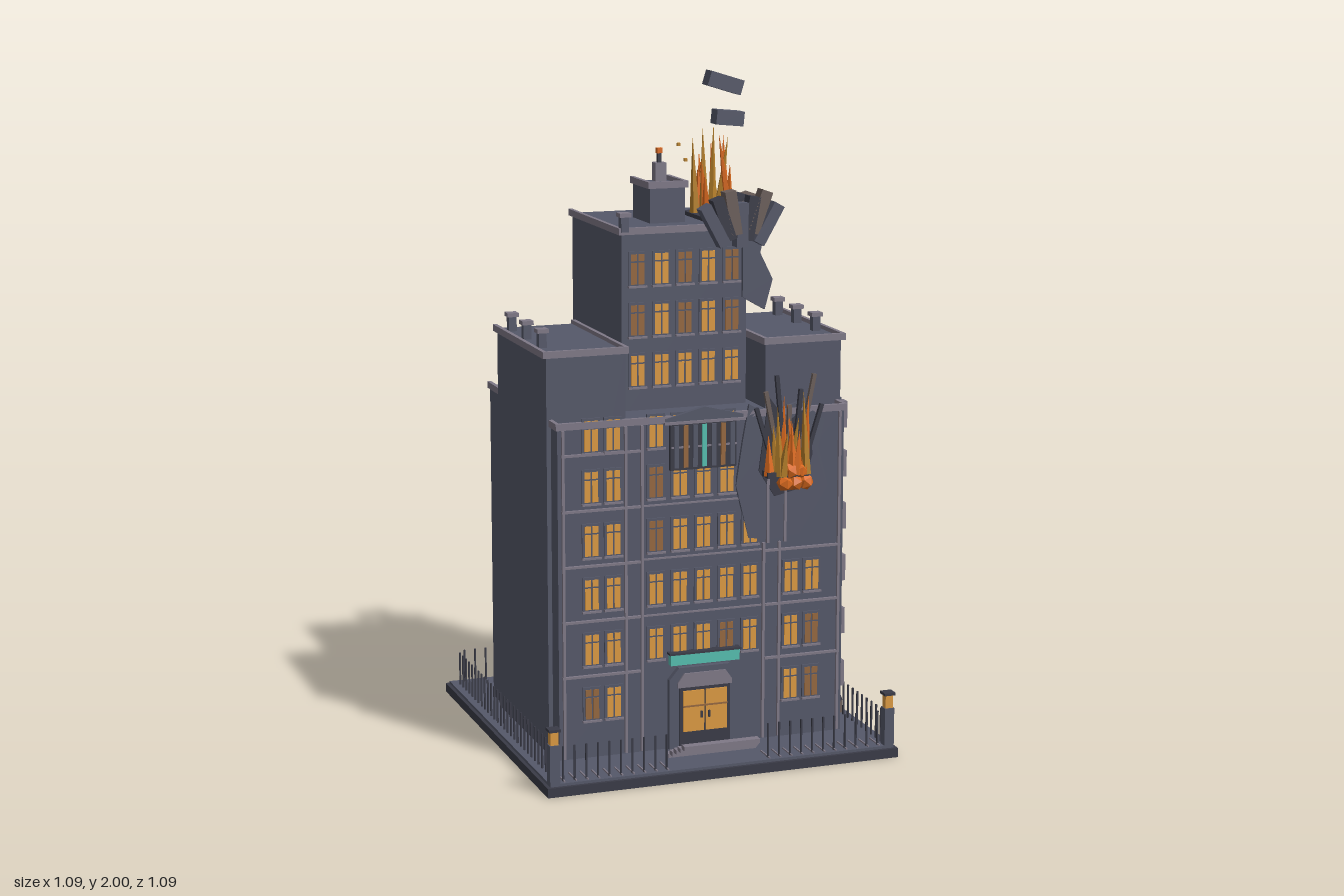
import * as THREE from 'three';

const mat = (name, hex, extra = {}) => {
  const m = new THREE.MeshStandardMaterial({ color: hex, flatShading: true, ...extra });
  m.name = name;
  return m;
};

export function createModel() {
  const root = new THREE.Group();
  root.name = 'tower';
  const M = {
    wall: mat('slate wall', 0x555869),
    dark: mat('dark iron', 0x3a3b47),
    trim: mat('pale stone trim', 0x7f7987),
    lit: mat('lit window', 0xdc9a42),
    dim: mat('dim window', 0x96683f),
    fire: mat('orange flame', 0xdb6a1e),
    gold: mat('golden flame', 0xb9822c),
    teal: mat('teal cloth', 0x56bfb0),
    rubble: mat('brown rubble', 0x6b5e5a),
  };
  let seed = 7;
  const rnd = () => (seed = (seed * 16807) % 2147483647) / 2147483647;

  const add = (name, geo, m, x, y, z, parent = root) => {
    const mesh = new THREE.Mesh(geo, m);
    mesh.name = name;
    mesh.position.set(x, y, z);
    parent.add(mesh);
    return mesh;
  };
  const box = (name, m, w, h, d, x, y, z, parent) => add(name, new THREE.BoxGeometry(w, h, d), m, x, y, z, parent);
  // box given by its extents
  const span = (name, m, x0, x1, y0, y1, z0, z1) =>
    box(name, m, x1 - x0, y1 - y0, z1 - z0, (x0 + x1) / 2, (y0 + y1) / 2, (z0 + z1) / 2);
  const plate = (name, m, pts, depth, z) => add(name, new THREE.ExtrudeGeometry(
    new THREE.Shape(pts.map(p => new THREE.Vector2(...p))), { depth, bevelEnabled: false }), m, 0, 0, z);

  // plinth
  span('plinth', M.dark, -0.545, 0.545, 0, 0.028, -0.545, 0.545);
  span('plinthTop', M.wall, -0.535, 0.535, 0.028, 0.036, -0.535, 0.535);

  // masses
  span('mainBody', M.wall, -0.445, 0.445, 0.03, 1.03, -0.34, 0.34);
  span('centreTower', M.wall, -0.195, 0.195, 1.0, 1.56, -0.28, 0.18);
  for (const s of [-1, 1]) box('wing', M.wall, 0.24, 1.2, 0.49, s * 0.338, 0.63, 0.035);
  span('penthouse', M.wall, -0.055, 0.055, 1.55, 1.67, -0.12, 0.035);

  // parapets open at the back
  const parapet = (x0, x1, z0, z1, y, t = 0.012) => {
    span('parapetLeft', M.trim, x0, x0 + t, y - 0.008, y + 0.012, z0, z1);
    span('parapetRight', M.trim, x1 - t, x1, y - 0.008, y + 0.012, z0, z1);
    span('parapetFront', M.trim, x0 + t, x1 - t, y - 0.008, y + 0.012, z1 - t, z1);
  };
  parapet(-0.452, 0.452, -0.345, 0.35, 1.03);
  parapet(-0.47, -0.21, -0.215, 0.29, 1.23);
  parapet(0.21, 0.47, -0.215, 0.29, 1.23);
  parapet(-0.205, 0.203, -0.285, 0.19, 1.56);
  parapet(-0.063, 0.063, -0.122, 0.042, 1.672);

  // chimneys and beacon
  const chimney = (x, y, z) => {
    box('chimney', M.wall, 0.024, 0.05, 0.024, x, y + 0.025, z);
    box('chimneyCap', M.trim, 0.035, 0.012, 0.035, x, y + 0.05, z);
  };
  for (const s of [-1, 1]) for (const z of [-0.15, 0, 0.15]) chimney(s * 0.43, 1.23, z);
  chimney(-0.187, 1.56, 0.18);
  box('beaconBase', M.trim, 0.034, 0.055, 0.034, 0, 1.705, -0.04);
  box('beaconPole', M.dark, 0.012, 0.03, 0.012, 0, 1.745, -0.04);
  box('beaconLight', M.fire, 0.016, 0.016, 0.016, 0, 1.768, -0.04);

  // windows, built facing +z
  const rows = [0.2, 0.365, 0.53, 0.69, 0.85, 1.0];
  const makeWindow = (x, y, z, turn, frame) => {
    const g = new THREE.Group();
    g.name = 'window';
    box('windowSurround', frame, 0.056, 0.103, 0.006, 0, 0, 0.001, g);
    const m = rnd() < 0.25 ? M.dim : M.lit;
    for (const s of [-1, 1]) {
      box('pane', m, 0.018, 0.064, 0.004, s * 0.0115, -0.013, 0.004, g);
      box('upperPane', m, 0.018, 0.02, 0.004, s * 0.0115, 0.034, 0.004, g);
    }
    box('sill', M.trim, 0.058, 0.006, 0.012, 0, -0.052, 0.004, g);
    g.position.set(x, y, z);
    g.rotation.y = turn;
    root.add(g);
  };
  rows.forEach((y, i) => {
    for (const x of [-0.345, -0.278]) makeWindow(x, y, 0.341, 0, M.wall);
    if (i < 3) for (const x of [0.278, 0.345]) makeWindow(x, y, 0.341, 0, M.wall);
    if (i > 0) for (const x of [-0.147, -0.073, 0, 0.073, 0.147])
      if (i < 4 || x < 0.1) makeWindow(x, y, 0.341, 0, M.wall);
    for (const z of [0.25, 0.15, 0.05, -0.05, -0.15]) makeWindow(0.459, y - 0.005, z, Math.PI / 2, M.wall);
    makeWindow(0.447, y - 0.005, -0.247, Math.PI / 2, M.trim);
    // stone bosses on the front right corner
    box('cornerBoss', M.trim, 0.018, 0.08, 0.03, 0.462, y, 0.29);
  });
  for (const y of [1.15, 1.3, 1.45])
    for (const x of [-0.147, -0.073, 0, 0.073, 0.147]) makeWindow(x, y, 0.181, 0, M.wall);

  // string courses and pilasters
  for (const s of [-1, 1]) {
    for (let i = 0; i < 5; i++)
      if (s < 0 || i < 3) box('stringCourse', M.trim, 0.24, 0.007, 0.01, s * 0.315, 0.285 + i * 0.165, 0.344);
    for (const x of [0.43, 0.24, 0.19])
      box('pilaster', M.trim, 0.008, s > 0 && x < 0.3 ? 0.6 : 0.98, 0.01, s * x, s > 0 && x < 0.3 ? 0.34 : 0.53, 0.344);
  }
  for (const y of [0.45, 0.62, 0.78]) box('centreCourse', M.trim, 0.37, 0.005, 0.006, 0, y, 0.342);

  // entrance
  plate('doorSurround', M.wall, [[-0.11, 0.036], [0.11, 0.036], [0.11, 0.25], [0.08, 0.285], [-0.08, 0.285], [-0.11, 0.25]], 0.018, 0.34);
  plate('doorArch', M.trim, [[-0.085, 0.225], [0.085, 0.225], [0.085, 0.24], [0.065, 0.268], [-0.065, 0.268], [-0.085, 0.24]], 0.006, 0.357);
  span('doorRecess', M.dark, -0.08, 0.08, 0.04, 0.23, 0.357, 0.36);
  for (const s of [-1, 1]) {
    box('doorLeaf', M.lit, 0.066, 0.125, 0.005, s * 0.036, 0.152, 0.362);
    box('doorHandle', M.dark, 0.006, 0.02, 0.008, s * 0.012, 0.14, 0.366);
  }
  span('doorRail', M.dim, -0.07, 0.07, 0.165, 0.17, 0.363, 0.367);
  span('awning', M.teal, -0.108, 0.108, 0.296, 0.328, 0.345, 0.366);
  span('awningRail', M.dark, -0.112, 0.112, 0.328, 0.334, 0.34, 0.369);
  for (let i = 0; i < 5; i++)
    box('step', M.trim, 0.276 - i * 0.01, 0.013, 0.026, 0, 0.043 + i * 0.011, 0.412 + i * 0.021);

  // banner bay and pediment
  span('bannerPanel', M.dark, -0.105, 0.1, 0.88, 1.02, 0.34, 0.35);
  [M.wall, M.dim, M.wall, M.teal, M.wall, M.dim, M.wall].forEach((m, i) =>
    box('bannerStripe', m, 0.014, 0.125, 0.006, -0.087 + i * 0.029, 0.95, 0.352));
  plate('pediment', M.wall, [[-0.12, 1.02], [0.12, 1.02], [0.12, 1.035], [0, 1.065], [-0.12, 1.035]], 0.016, 0.34);
  span('pedimentSill', M.trim, -0.125, 0.125, 1.018, 1.026, 0.34, 0.362);

  // lamp posts
  for (const s of [-1, 1]) {
    box('lampPost', M.wall, 0.03, 0.115, 0.03, s * 0.52, 0.093, 0.52);
    box('lampGlass', M.lit, 0.024, 0.04, 0.024, s * 0.52, 0.17, 0.52);
    box('lampCap', M.dark, 0.035, 0.008, 0.035, s * 0.52, 0.194, 0.52);
  }

  // railings
  const picket = new THREE.BoxGeometry(0.005, 0.105, 0.005);
  const fallen = new THREE.BoxGeometry(0.004, 0.004, 0.072);
  for (let i = 0; i < 29; i++) {
    const t = -0.49 + i * 0.035;
    add('picket', picket, M.dark, t, 0.088, -0.515);
    for (const s of [-1, 1]) add('picket', picket, M.dark, s * 0.512, 0.088, t);
    if (Math.abs(t) > 0.14) {
      add('picket', picket, M.dark, t, 0.088, 0.515);
      add('lyingRod', fallen, M.trim, t, 0.039, 0.495);
    }
  }

  // flames: leaning spikes around a centre
  const flames = (cx, y, cz, rx, rz, h, n) => {
    for (let i = 0; i < n; i++) {
      const k = 0.45 + 0.55 * rnd();
      const f = add('flame', new THREE.ConeGeometry(0.017, h * k, 5).translate(0, h * k / 2, 0),
        i % 3 ? M.fire : M.gold, cx + (rnd() * 2 - 1) * rx, y, cz + (rnd() * 2 - 1) * rz);
      f.rotation.set((rnd() - 0.5) * 0.2, rnd() * 3, (rnd() - 0.5) * 0.3);
    }
  };

  // facade breach
  plate('breach', M.wall, [[0.1, 0.82], [0.14, 0.66], [0.2, 0.65], [0.3, 0.66], [0.39, 0.8], [0.36, 0.92], [0.38, 1.0], [0.3, 1.06], [0.2, 1.03], [0.14, 1.06], [0.12, 0.95]], 0.01, 0.34);
  plate('scorch', M.dark, [[0.17, 0.86], [0.22, 0.78], [0.31, 0.8], [0.34, 0.9], [0.32, 1.04], [0.26, 1.0], [0.2, 1.08]], 0.006, 0.348);
  span('breachLedge', M.dark, 0.18, 0.31, 0.845, 0.862, 0.345, 0.4);
  for (const x of [0.2, 0.255]) span('brokenPipe', M.trim, x - 0.004, x + 0.004, 0.64, 0.845, 0.345, 0.355);
  flames(0.25, 0.85, 0.38, 0.06, 0.015, 0.25, 13);
  for (let i = 0; i < 5; i++) {
    const e = add('ember', new THREE.IcosahedronGeometry(0.026, 0), M.fire, 0.24 + i * 0.016, 0.825 + (i % 2) * 0.035, 0.385);
    e.rotation.z = i;
  }
  for (let i = 0; i < 7; i++)
    box('brokenBeam', i % 2 ? M.rubble : M.dark, 0.012, 0.17 + 0.05 * (i % 3), 0.012,
      0.18 + i * 0.026, 0.97 + 0.02 * (i % 3), 0.368).rotation.z = 0.3 - i * 0.1;

  // broken corner at the roof
  plate('hangingWall', M.wall, [[0.18, 1.58], [0.25, 1.55], [0.235, 1.48], [0.275, 1.4], [0.25, 1.31], [0.18, 1.35]], 0.02, 0.17);
  for (let i = 0; i < 7; i++)
    box('roofShard', [M.wall, M.dark, M.rubble][i % 3], 0.035, 0.13, 0.04,
      0.08 + i * 0.028, 1.57 + 0.018 * (i % 3), 0.21).rotation.z = 0.5 - i * 0.17;
  box('craterSlab', M.rubble, 0.165, 0.02, 0.115, 0.208, 1.6, 0).rotation.z = 0.3;
  box('craterBlock', M.dark, 0.06, 0.05, 0.11, 0.235, 1.6, 0).rotation.z = 0.25;
  span('scorchedRoof', M.dark, 0.11, 0.28, 1.555, 1.572, -0.14, 0.04);
  flames(0.175, 1.565, -0.055, 0.05, 0.045, 0.28, 15);

  // flying blocks and sparks
  box('flyingBlock', M.wall, 0.11, 0.045, 0.05, 0.208, 1.963, -0.05).rotation.z = -0.3;
  box('flyingBlock', M.wall, 0.088, 0.044, 0.05, 0.228, 1.856, -0.065).rotation.z = -0.1;
  for (const [y, z] of [[1.78, -0.07], [1.74, -0.01]]) box('spark', M.gold, 0.009, 0.009, 0.009, 0.073, y, z);

  // fallen rubble along the right side
  for (const [z, w] of [[0.19, 0.06], [0.11, 0.05], [-0.235, 0.06]]) {
    box('fallenBlock', M.rubble, 0.035, 0.045, w, 0.483, 0.068, z).rotation.y = 0.15;
    box('fallenChip', M.dark, 0.025, 0.025, 0.025, 0.487, 0.095, z + 0.02).rotation.z = 0.4;
  }
  return root;
}
